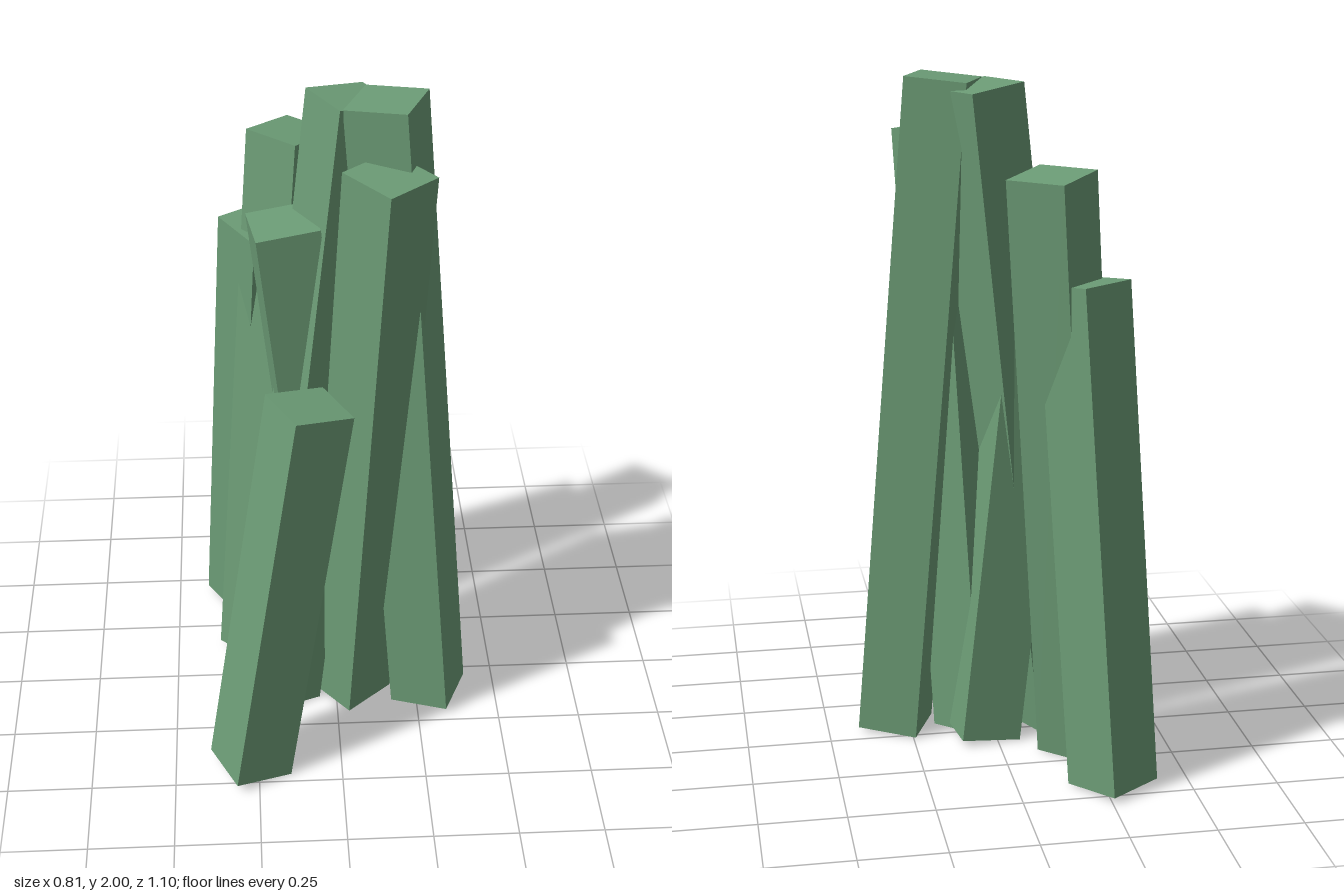
import * as THREE from 'three';

const WIDTH = 0.182; // side of the square section

// A square post standing on one bottom edge, tilted along (dx, dz).
// x, z: centre of its top; height: its highest edge; lean: sideways shift of the top.
function makePost({ name, x, z, height, dx, dz, lean }, material) {
  const tilt = Math.atan2(lean, height - WIDTH * lean / height);
  const length = lean / Math.sin(tilt);
  const d = Math.hypot(dx, dz);
  const post = new THREE.Mesh(new THREE.BoxGeometry(WIDTH, length, WIDTH), material);
  post.name = name;
  post.rotation.set(0, Math.atan2(-dz, dx), -tilt, 'YXZ');
  post.position.set(x - (dx / d) * lean / 2, height / 2, z - (dz / d) * lean / 2);
  return post;
}

export function createModel() {
  const group = new THREE.Group();
  group.name = 'leaningPosts';
  const green = new THREE.MeshStandardMaterial({ color: 0x6c9c76 });
  green.name = 'green';

  const posts = [
    { name: 'rearPost', x: -0.2, z: -0.31, height: 1.47, dx: 35, dz: 51, lean: 0.138 },
    { name: 'backPost', x: -0.109, z: -0.299, height: 1.768, dx: 43, dz: -48, lean: 0.19 },
    { name: 'rightPost', x: -0.144, z: 0.018, height: 1.638, dx: -62, dz: 9, lean: 0.181 },
    { name: 'centrePost', x: 0.048, z: -0.035, height: 1.985, dx: 55, dz: -29, lean: 0.252 },
    { name: 'leftPost', x: 0.137, z: 0.034, height: 2, dx: -56, dz: -24, lean: 0.167 },
    { name: 'innerFrontPost', x: 0.14, z: 0.173, height: 1.845, dx: 41, dz: 46, lean: 0.144 },
    { name: 'frontPost', x: -0.085, z: 0.334, height: 1.24, dx: 56, dz: -27, lean: 0.21 },
  ];
  for (const p of posts) group.add(makePost(p, green));
  return group;
}
